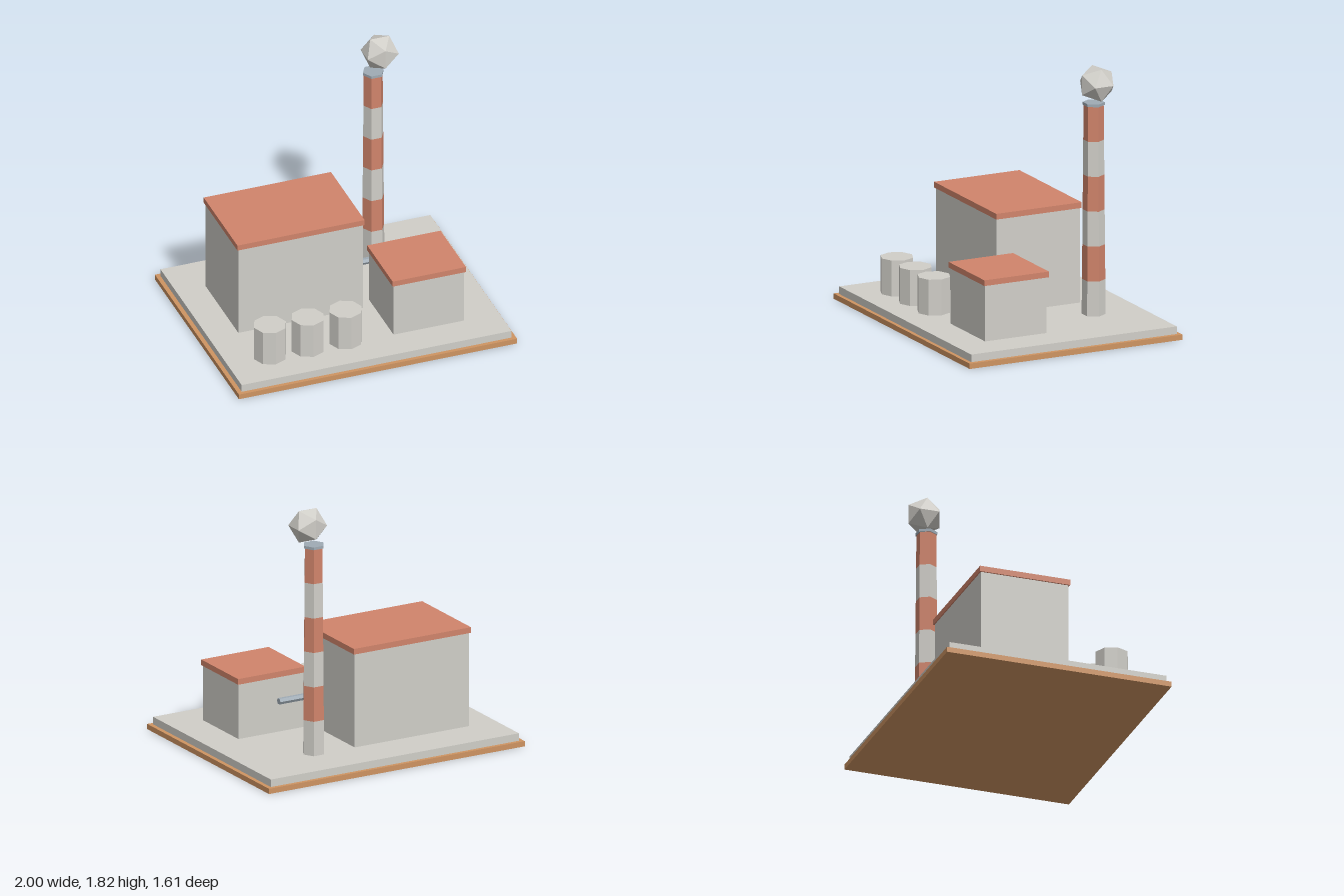
import * as THREE from 'three';

function flat(name, color) {
  const m = new THREE.MeshStandardMaterial({ color, flatShading: true });
  m.name = name;
  return m;
}

export function createModel() {
  const group = new THREE.Group();
  const concrete = flat('concrete', 0xd0cec8);
  const red = flat('brickRed', 0xd0846b);
  const earth = flat('earth', 0xce9462);
  const steel = flat('steel', 0x9fabb5);

  function add(name, geometry, material, x, y, z) {
    const mesh = new THREE.Mesh(geometry, material);
    mesh.name = name;
    mesh.position.set(x, y, z);
    group.add(mesh);
    return mesh;
  }

  // Box given by its extents
  function block(name, material, [x0, x1], [y0, y1], [z0, z1]) {
    return add(name, new THREE.BoxGeometry(x1 - x0, y1 - y0, z1 - z0), material,
      (x0 + x1) / 2, (y0 + y1) / 2, (z0 + z1) / 2);
  }

  // Ground and paved yard
  block('groundBase', earth, [-1, 1], [0, 0.037], [-0.805, 0.805]);
  block('yardSlab', concrete, [-0.97, 0.97], [0.037, 0.09], [-0.778, 0.778]);

  // Buildings with overhanging flat roofs
  block('hallWalls', concrete, [-0.76, 0.135], [0.09, 0.752], [-0.475, 0.155]);
  block('hallRoof', red, [-0.77, 0.145], [0.752, 0.792], [-0.483, 0.163]);
  block('annexWalls', concrete, [0.21, 0.717], [0.09, 0.48], [0.077, 0.543]);
  block('annexRoof', red, [0.2, 0.727], [0.48, 0.52], [0.065, 0.553]);

  // Row of storage tanks
  for (let i = 0; i < 3; i++) {
    add('tank' + (i + 1), new THREE.CylinderGeometry(0.115, 0.115, 0.25, 8), concrete,
      -0.663 + i * 0.272, 0.215, 0.5);
  }

  // Tapered six-sided chimney in alternating bands
  const cx = 0.428, cz = -0.428, bands = 6, y0 = 0.09, y1 = 1.55;
  const radius = (t) => THREE.MathUtils.lerp(0.081, 0.068, t);
  const h = (y1 - y0) / bands;
  for (let i = 0; i < bands; i++) {
    const band = new THREE.CylinderGeometry(radius((i + 1) / bands), radius(i / bands), h, 6);
    band.rotateY(Math.PI / 6);
    add('chimneyBand' + (i + 1), band, i % 2 ? red : concrete, cx, y0 + h * (i + 0.5), cz);
  }
  const rim = new THREE.CylinderGeometry(0.075, 0.075, 0.019, 6).rotateY(Math.PI / 6);
  add('chimneyRim', rim, steel, cx, 1.559, cz);

  // Smoke puff
  add('smokePuff', new THREE.IcosahedronGeometry(0.131, 0), concrete, 0.475, 1.71, -0.428);

  // Pipe leaving the hall
  const pipe = new THREE.CylinderGeometry(0.023, 0.023, 0.36, 6).rotateZ(Math.PI / 2);
  add('pipe', pipe, steel, 0.28, 0.342, -0.02);

  return group;
}
